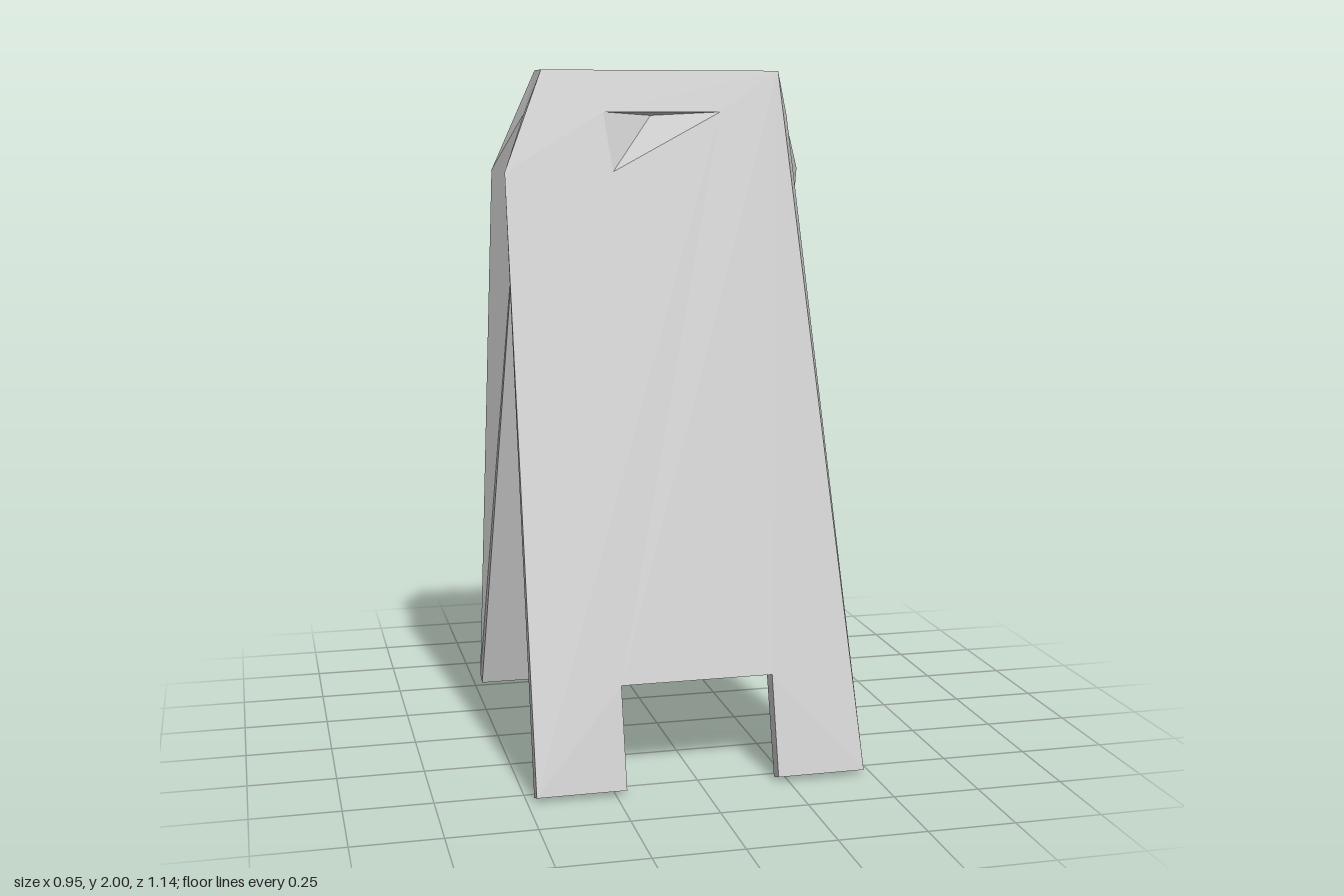
import * as THREE from 'three';

const grey = new THREE.MeshStandardMaterial({ color: 0xcccccc, side: THREE.DoubleSide });
grey.name = 'plain grey';

// Depth of a panel's outer and inner faces at height y
const outerZ = (y) => 0.055 + (2 - y) * 0.2595;
const innerZ = (y) => (1.87 - y) * 0.2807;
const v = (x, y, z) => new THREE.Vector3(x, y, z);

function mesh(name, geometry) {
  geometry.computeVertexNormals();
  const m = new THREE.Mesh(geometry, grey);
  m.name = name;
  return m;
}

// Flat faces from a list of triangle corners
function triangles(name, corners) {
  return mesh(name, new THREE.BufferGeometry().setFromPoints(corners));
}

// A flat outline laid onto the sloping plane z = depth(y)
function sheet(name, outline, depth, hole, flip) {
  const to2 = (p) => new THREE.Vector2(p[0], p[1]);
  const shape = new THREE.Shape(outline.map(to2));
  if (hole) shape.holes.push(new THREE.Path(hole.map(to2)));
  const g = new THREE.ShapeGeometry(shape).toNonIndexed();
  const pos = g.attributes.position;
  for (let i = 0; i < pos.count; i++) pos.setZ(i, depth(pos.getY(i)));
  if (flip) {
    for (let i = 0; i < pos.count; i += 3) {
      const a = v().fromBufferAttribute(pos, i + 1);
      const b = v().fromBufferAttribute(pos, i + 2);
      pos.setXYZ(i + 1, b.x, b.y, b.z);
      pos.setXYZ(i + 2, a.x, a.y, a.z);
    }
  }
  return mesh(name, g);
}

function panel(name, hole, apexX, rightChamfer) {
  const group = new THREE.Group();
  group.name = name;

  // Matching outer and inner outlines, anticlockwise from the top left
  const outer = [[-0.355, 2], [-0.475, 1.71], [-0.475, 0.015], [-0.22, 0.015], [-0.22, 0.295],
    [0.22, 0.295], [0.22, 0.015], [0.475, 0.015]];
  const feet = [[-0.475, 0], [-0.22, 0], [-0.22, 0.285], [0.22, 0.285], [0.22, 0], [0.475, 0]];
  if (rightChamfer) outer.push([0.475, 1.71]);
  outer.push([0.355, 2]);
  const innerOutline = [[-0.4, 1.87], ...feet, [0.4, 1.87]];

  const out3 = outer.map(([x, y]) => v(x, y, outerZ(y)));
  const in3 = innerOutline.map(([x, y]) => v(x, y, innerZ(y)));
  const notch = v(-0.405, 1.87, 0.035);
  const fold = [in3[0], in3[1], notch];
  in3.splice(1, 0, notch);
  if (rightChamfer) in3.push(in3[in3.length - 1]);

  group.add(sheet('outerFace', outer, outerZ, hole));
  group.add(sheet('innerFace', innerOutline, innerZ, null, true));
  group.add(triangles('innerFold', fold));

  // Rim joining the two faces
  const rim = [];
  for (let i = 0; i < out3.length - 1; i++) {
    rim.push(out3[i], in3[i], in3[i + 1], out3[i], in3[i + 1], out3[i + 1]);
  }
  group.add(triangles('rim', rim));

  // Tapering hand hole
  const apex = v(apexX, 1.87, 0);
  const rimOfHole = hole.map(([x, y]) => v(x, y, outerZ(y)));
  const funnel = rimOfHole.flatMap((p, i) => [p, apex, rimOfHole[(i + 1) % 3]]);
  group.add(triangles('handHole', funnel.reverse()));
  return group;
}

export function createModel() {
  const model = new THREE.Group();
  model.name = 'sandwichBoard';

  model.add(panel('frontPanel', [[-0.18, 1.88], [-0.16, 1.71], [0.17, 1.88]], -0.02, false));
  const back = panel('backPanel', [[-0.17, 1.88], [0, 1.79], [0.18, 1.88]], 0.02, true);
  back.rotation.y = Math.PI;
  model.add(back);

  // Flat ridge on top and its two triangular ends
  const [x, z] = [0.355, 0.055];
  model.add(triangles('topRidge', [
    v(-x, 2, z), v(x, 2, z), v(x, 2, -z), v(-x, 2, z), v(x, 2, -z), v(-x, 2, -z),
  ]));
  model.add(triangles('ridgeEnds', [
    v(x, 2, z), v(0.4, 1.87, 0), v(x, 2, -z), v(-x, 2, -z), v(-0.4, 1.87, 0), v(-x, 2, z),
  ]));
  return model;
}
